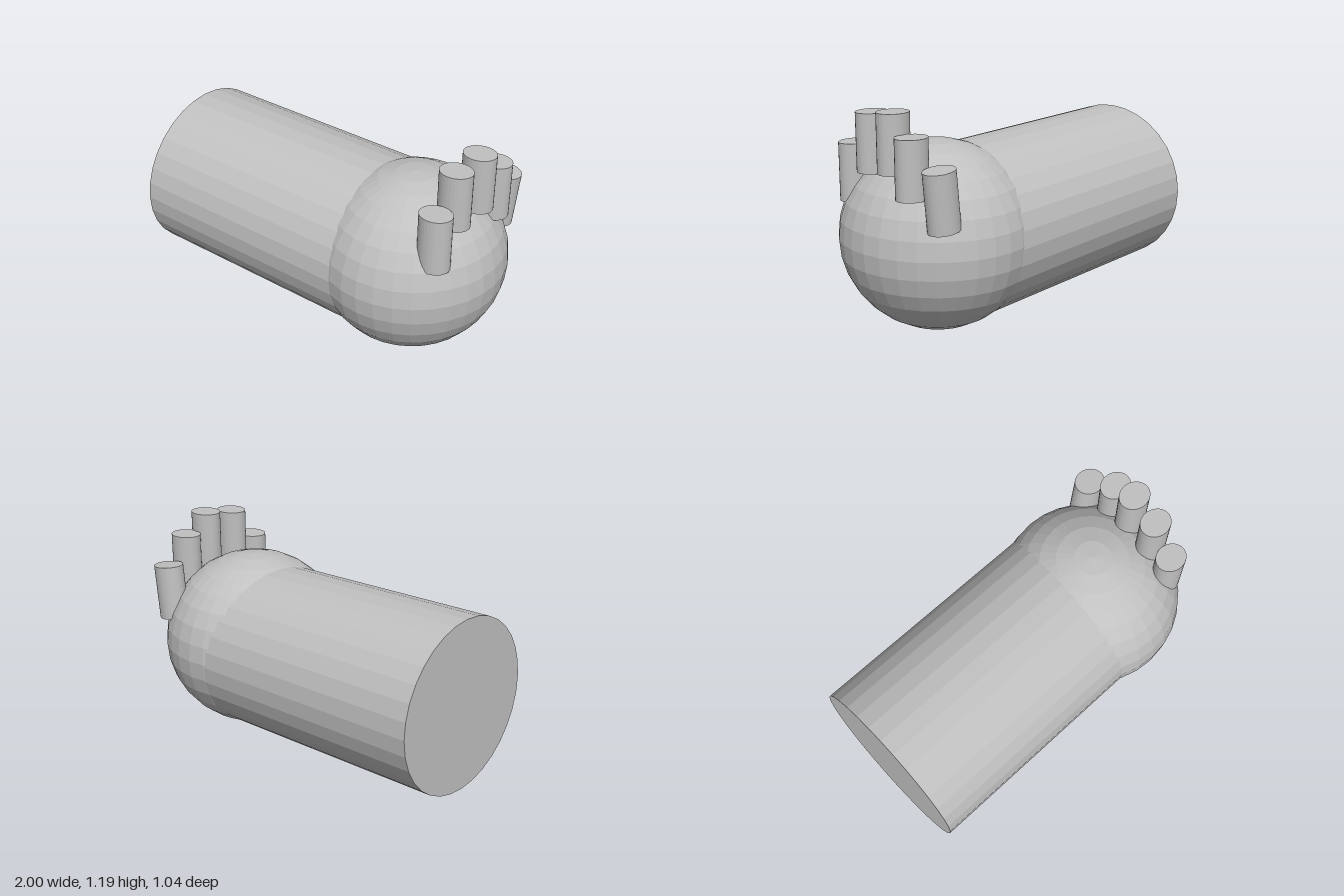
import * as THREE from 'three';

export function createModel() {
  const model = new THREE.Group();
  model.name = 'armWithHand';
  const gray = new THREE.MeshStandardMaterial({ color: 0xc0c0c0 });
  gray.name = 'plain gray';
  gray.flatShading = true;

  function add(name, geometry, x, y, z) {
    const mesh = new THREE.Mesh(geometry, gray);
    mesh.name = name;
    mesh.position.set(x, y, z);
    model.add(mesh);
    return mesh;
  }

  // Forearm: slightly oval cylinder, sloping down a little towards the palm
  const tilt = 0.027;
  const forearm = add('forearm', new THREE.CylinderGeometry(1, 1, 1.4, 32), -0.287, 0.508, -0.015);
  forearm.scale.set(0.463, 1, 0.49);
  forearm.rotation.z = -Math.PI / 2 - tilt;

  // Palm: rounded ball at the end of the forearm
  const palm = add('palm', new THREE.SphereGeometry(1, 32, 16), 0.492, 0.503, 0);
  palm.scale.set(0.505, 0.5, 0.518);

  // Fingers: oval cylinders in an arc, [name, x, middle y, z, lean about z]
  const fingers = [
    ['littleFinger', 0.792, 0.846, 0.281, 0],
    ['ringFinger', 0.803, 1.019, 0.13, 0],
    ['middleFinger', 0.826, 1.041, -0.049, 0],
    ['indexFinger', 0.841, 0.937, -0.192, 0],
    ['thumb', 0.802, 0.798, -0.353, -0.1],
  ];
  const fingerGeometry = new THREE.CylinderGeometry(1, 1, 0.303, 32);
  for (const [name, x, y, z, lean] of fingers) {
    const finger = add(name, fingerGeometry, x, y, z);
    finger.scale.set(0.088, 1, 0.076);
    finger.rotation.z = lean;
  }

  return model;
}
